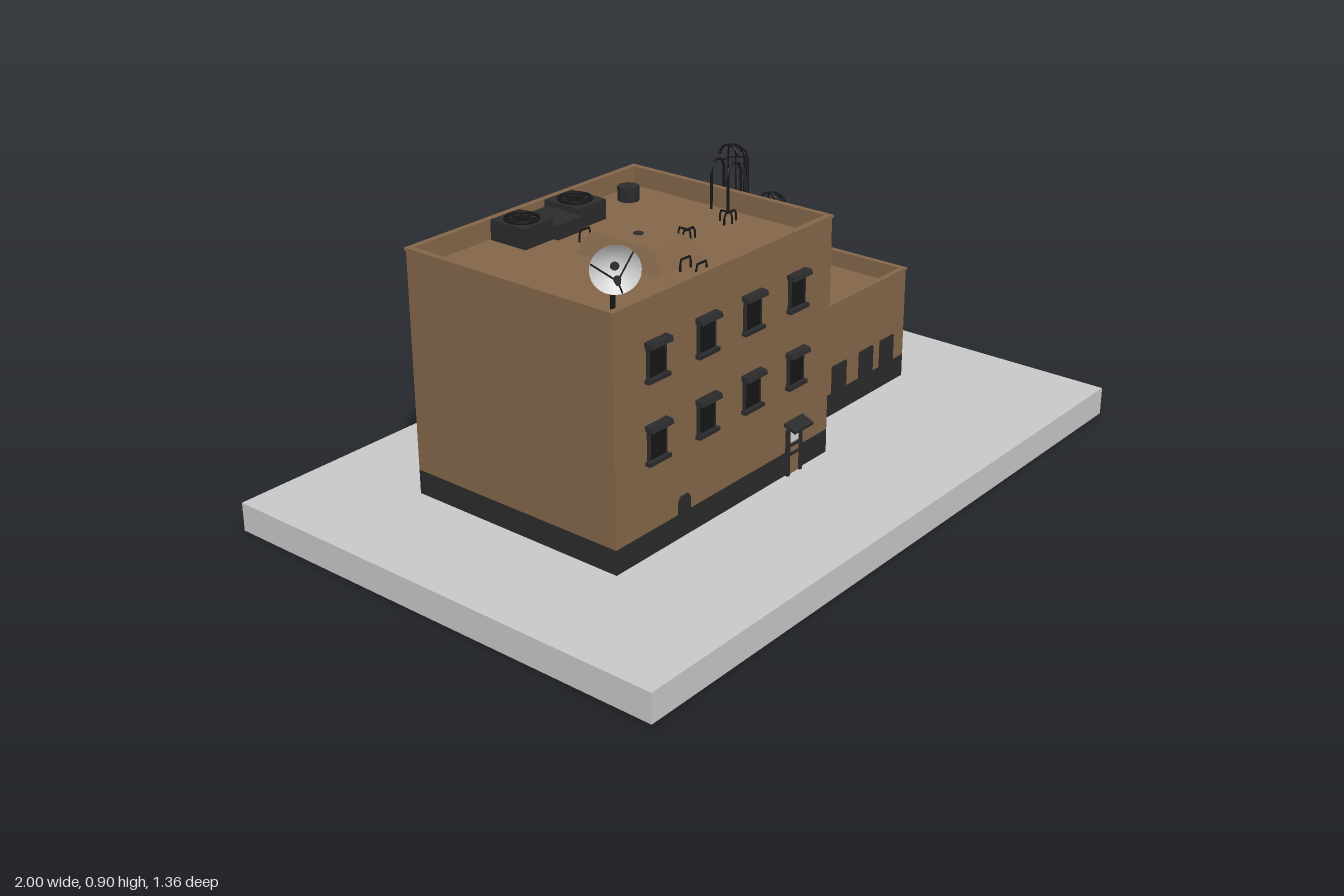
import * as THREE from 'three';

const mat = (name, color, side = THREE.FrontSide) => {
  const m = new THREE.MeshStandardMaterial({ color, side });
  m.name = name;
  return m;
};

export function createModel() {
  const brown = mat('brown brick', 0x84664a);
  const dark = mat('charcoal', 0x2b2b2b);
  const black = mat('black metal', 0x161616);
  const grey = mat('concrete', 0xc8c8c8);
  const light = mat('dish white', 0xd6d6d6, THREE.DoubleSide);
  const model = new THREE.Group();
  model.name = 'building';

  const V = (x, y, z) => new THREE.Vector3(x, y, z);
  const add = (parent, name, geo, m) => {
    const mesh = new THREE.Mesh(geo, m);
    mesh.name = name;
    parent.add(mesh);
    return mesh;
  };
  const group = (name, parent = model) => {
    const g = new THREE.Group();
    g.name = name;
    parent.add(g);
    return g;
  };
  // Box given by its limits
  const box = (p, name, m, x0, x1, y0, y1, z0, z1) => {
    const b = add(p, name, new THREE.BoxGeometry(x1 - x0, y1 - y0, z1 - z0), m);
    b.position.set((x0 + x1) / 2, (y0 + y1) / 2, (z0 + z1) / 2);
    return b;
  };
  // Rod that follows a polyline
  const rod = (p, name, m, pts, r) => {
    const path = new THREE.CurvePath();
    for (let i = 1; i < pts.length; i++) path.add(new THREE.LineCurve3(pts[i - 1], pts[i]));
    return add(p, name, new THREE.TubeGeometry(path, (pts.length - 1) * 2, r, 6), m);
  };
  const arc = (n, f) => Array.from({ length: n + 1 }, (_, i) => f(Math.PI * i / n));
  const polygon = pts => new THREE.Shape(pts.map(q => new THREE.Vector2(q[0], q[1])));

  // Rectangular wall ring, seen from above
  const ring = (p, name, x0, x1, y0, y1, z0, z1, t) => {
    const s = polygon([[x0, -z1], [x1, -z1], [x1, -z0], [x0, -z0]]);
    s.holes.push(polygon([[x0 + t, -z1 + t], [x0 + t, -z0 - t], [x1 - t, -z0 - t], [x1 - t, -z1 + t]]));
    const m = add(p, name, new THREE.ExtrudeGeometry(s, { depth: y1 - y0, bevelEnabled: false }), brown);
    m.rotation.x = -Math.PI / 2;
    m.position.y = y0;
  };

  box(model, 'groundSlab', grey, -1, 1, 0, 0.08, -0.68, 0.68);

  // Building blocks: plinth, walls, parapet and coping
  const block = (name, x0, x1, z0, z1, roof, top) => {
    const g = group(name);
    box(g, 'plinth', dark, x0, x1, 0.08, 0.147, z0, z1);
    box(g, 'walls', brown, x0, x1, 0.147, roof, z0, z1);
    ring(g, 'parapet', x0, x1, roof, top - 0.008, z0, z1, 0.012);
    ring(g, 'coping', x0 - 0.003, x1 + 0.003, top - 0.008, top, z0 - 0.003, z1 + 0.003, 0.017);
  };
  block('mainBlock', -0.678, 0.168, -0.366, 0.30, 0.695, 0.75);
  block('annex', 0.168, 0.715, -0.37, 0.18, 0.365, 0.415);

  // Front windows with hood and sill
  for (const x of [-0.53, -0.345, -0.165, 0.018]) for (const y of [0.54, 0.328]) {
    const w = group('window');
    box(w, 'frame', dark, x - 0.034, x + 0.034, y, y + 0.095, 0.30, 0.306);
    box(w, 'pane', black, x - 0.026, x + 0.026, y + 0.012, y + 0.08, 0.306, 0.308);
    box(w, 'sill', dark, x - 0.039, x + 0.039, y - 0.002, y + 0.008, 0.30, 0.315);
    const hood = add(w, 'hood', new THREE.ExtrudeGeometry(
      polygon([[0, 0], [0.024, 0], [0.02, 0.012], [0, 0.014]]), { depth: 0.078, bevelEnabled: false }), dark);
    hood.rotation.y = -Math.PI / 2;
    hood.position.set(x + 0.039, y + 0.088, 0.30);
  }

  // Entrance
  const door = group('entrance');
  box(door, 'doorLeaf', brown, -0.008, 0.042, 0.08, 0.21, 0.30, 0.304);
  for (const x of [-0.015, 0.038]) box(door, 'jamb', dark, x, x + 0.009, 0.08, 0.212, 0.30, 0.31);
  for (const y of [0.135, 0.16, 0.205]) box(door, 'rail', dark, -0.008, 0.042, y, y + 0.007, 0.30, 0.308);
  box(door, 'doorWindow', light, 0.002, 0.032, 0.172, 0.2, 0.304, 0.307);
  const awning = box(door, 'awning', dark, -0.023, 0.056, 0.219, 0.227, 0.298, 0.338);
  awning.rotation.x = 0.35;

  // Round-topped vent and annex basement windows
  const vent = polygon([[-0.023, 0], [0.023, 0], [0.023, 0.034], [0.014, 0.047], [-0.014, 0.047], [-0.023, 0.034]]);
  add(model, 'wallVent', new THREE.ExtrudeGeometry(vent, { depth: 0.004, bevelEnabled: false }), dark)
    .position.set(-0.428, 0.147, 0.30);
  for (const x of [0.26, 0.392, 0.523, 0.626])
    box(model, 'basementWindow', dark, x - 0.033, x + 0.033, 0.147, 0.228, 0.18, 0.185);

  // Fan unit, facing +y before it is turned
  const fan = (parent, name, w, d, h, n = 1, m = dark) => {
    const g = group(name, parent);
    box(g, 'casing', m, -w / 2, w / 2, 0, h, -d / 2, d / 2);
    const r = Math.min(w, d) * 0.4;
    const guard = add(g, 'guard', new THREE.TorusGeometry(r, 0.005, 6, 24), black);
    guard.rotation.x = Math.PI / 2;
    guard.position.y = h + 0.003;
    add(g, 'hub', new THREE.CylinderGeometry(r * 0.3, r * 0.3, 0.008, 12), black).position.y = h + 0.003;
    for (let i = 0; i < 4; i++) {
      const b = add(g, 'blade', new THREE.BoxGeometry(r * 2, 0.003, r * 0.22), black);
      b.position.y = h + 0.001;
      b.rotation.y = i * Math.PI / 4;
    }
    return g;
  };

  // Main roof equipment
  for (const x of [-0.352, -0.153]) fan(model, 'roofFan', 0.105, 0.12, 0.055).position.set(x, 0.695, -0.29);
  box(model, 'fanDuct', dark, -0.30, -0.205, 0.695, 0.735, -0.34, -0.215);
  add(model, 'roofVent', new THREE.CylinderGeometry(0.03, 0.03, 0.04, 8), dark).position.set(0.052, 0.715, -0.285);
  const pipe = (x, y, z, dx, dz) => rod(model, 'roofPipe', black,
    [V(x, y, z), V(x, y + 0.03, z), V(x + dx, y + 0.03, z + dz), V(x + dx, y, z + dz)], 0.003);
  for (const z of [-0.165, 0.165, 0.215]) pipe(-0.275, 0.695, z, 0.04, 0);
  for (const x of [-0.095, 0.075]) { pipe(x, 0.695, 0.01, 0, 0.04); pipe(x - 0.02, 0.695, 0.04, 0.05, 0); }

  // Skylight: tapered box
  const sky = box(model, 'skylight', brown, -0.342, -0.163, 0.695, 0.752, -0.12, 0.152);
  const sp = sky.geometry.attributes.position;
  for (let i = 0; i < sp.count; i++)
    if (sp.getY(i) > 0) { sp.setX(i, sp.getX(i) * 0.7); sp.setZ(i, sp.getZ(i) * 0.78); }
  sky.geometry.computeVertexNormals();
  add(model, 'skylightKnob', new THREE.CylinderGeometry(0.013, 0.013, 0.004, 8), dark).position.set(-0.252, 0.753, 0.012);

  // Annex roof equipment
  box(model, 'fanCurb', brown, 0.352, 0.555, 0.365, 0.385, -0.205, 0.004);
  box(model, 'fanDeck', dark, 0.375, 0.53, 0.385, 0.395, -0.135, -0.065);
  for (const x of [0.414, 0.493]) for (const z of [-0.15, -0.055])
    fan(model, 'annexFan', 0.066, 0.066, 0.032).position.set(x, 0.385, z);
  for (const z of [0.05, 0.11]) pipe(0.385, 0.365, z, 0.02, 0);
  for (const x of [0.6, 0.655]) pipe(x, 0.365, -0.11, 0, 0.02);

  // Wall fan on the left side
  const wf = fan(model, 'wallFan', 0.088, 0.082, 0.028);
  wf.rotation.z = -Math.PI / 2;
  wf.position.set(0.168, 0.609, -0.264);

  // Flue in the corner between the blocks
  const flue = group('cornerFlue');
  const side = add(flue, 'flueDuct', new THREE.ExtrudeGeometry(polygon([
    [-0.182, 0.23], [-0.182, 0.52], [-0.19, 0.74], [-0.24, 0.74], [-0.238, 0.58], [-0.226, 0.51],
    [-0.252, 0.40], [-0.252, 0.29]]), { depth: 0.012, bevelEnabled: false }), dark);
  side.rotation.y = Math.PI / 2;
  side.position.x = 0.168;
  add(flue, 'flueFoot', new THREE.ExtrudeGeometry(polygon([
    [0.168, 0.147], [0.23, 0.147], [0.207, 0.165], [0.195, 0.21], [0.20, 0.26], [0.235, 0.31], [0.168, 0.31]]),
  { depth: 0.006, bevelEnabled: false }), dark).position.z = 0.18;
  const ff = fan(flue, 'flueFan', 0.066, 0.125, 0.05);
  ff.rotation.x = Math.PI / 2;
  ff.position.set(0.211, 0.375, 0.18);

  // Caged ladders; x = 0 is the wall face
  const ladder = (x, z, bottom, top, cageBottom) => {
    const g = group('cagedLadder');
    g.position.set(x, 0, z);
    const h = 0.028, out = 0.015, a = top + 0.055;
    for (const s of [-h, h]) {
      rod(g, 'rail', black, [V(-0.039, top - 0.052, s),
        ...arc(10, t => V(-0.012 - 0.027 * Math.cos(t), a + 0.026 * Math.sin(t), s)), V(out, bottom, s)], 0.004);
      rod(g, 'bracket', black, [V(0, bottom + 0.03, s), V(out, bottom + 0.03, s)], 0.003);
    }
    for (let y = bottom + 0.025; y < top; y += 0.029)
      rod(g, 'rung', black, [V(out, y, -h), V(out, y, h)], 0.003);
    // Cage: hoops, outer bars and a rounded crown
    const hoop = t => [0.035 + 0.03 * Math.sin(t), 0.03 * Math.cos(t)];
    for (let i = 0; i < 4; i++) {
      const y = cageBottom + (top + 0.07 - cageBottom) * i / 3;
      rod(g, 'hoop', black, [V(out, y, 0.03), ...arc(10, t => V(hoop(t)[0], y, hoop(t)[1])), V(out, y, -0.03)], 0.002);
    }
    for (const t of [0, 0.25, 0.5, 0.75, 1]) {
      const [bx, bz] = hoop(t * Math.PI);
      const crown = Array.from({ length: 7 }, (_, i) => {
        const q = i / 6 * Math.PI / 2;
        return V(bx * Math.cos(q), top + 0.07 + 0.05 * Math.sin(q), bz * Math.cos(q));
      });
      rod(g, 'cageBar', black, [V(bx, cageBottom, bz), ...crown], 0.002);
    }
    rod(g, 'crownArch', black, arc(10, t => V(0, top + 0.09 + 0.03 * Math.sin(t), 0.03 * Math.cos(t))), 0.003);
  };
  ladder(0.168, -0.034, 0.415, 0.75, 0.49);
  ladder(0.715, -0.31, 0.135, 0.415, 0.26);

  // Satellite dish on the roof corner
  const dish = group('satelliteDish');
  dish.position.set(-0.63, 0.84, 0.268);
  dish.quaternion.setFromUnitVectors(V(0, 1, 0), V(-1, 0.05, 1).normalize());
  const profile = Array.from({ length: 9 }, (_, i) => new THREE.Vector2(0.059 * i / 8, 0.028 * (i / 8) ** 2));
  add(dish, 'reflector', new THREE.LatheGeometry(profile, 32), light);
  for (let i = 0; i < 3; i++) {
    const t = i * Math.PI * 2 / 3;
    rod(dish, 'strut', black, [V(0.057 * Math.cos(t), 0.027, 0.057 * Math.sin(t)), V(0, 0.105, 0)], 0.002);
  }
  add(dish, 'feed', new THREE.CylinderGeometry(0.006, 0.009, 0.03, 10), dark).position.y = 0.105;
  add(dish, 'backMount', new THREE.CylinderGeometry(0.02, 0.012, 0.014, 10), dark).position.y = -0.006;
  rod(model, 'dishPost', black, [V(-0.612, 0.695, 0.243), V(-0.612, 0.79, 0.246), V(-0.626, 0.838, 0.264)], 0.006);

  return model;
}
